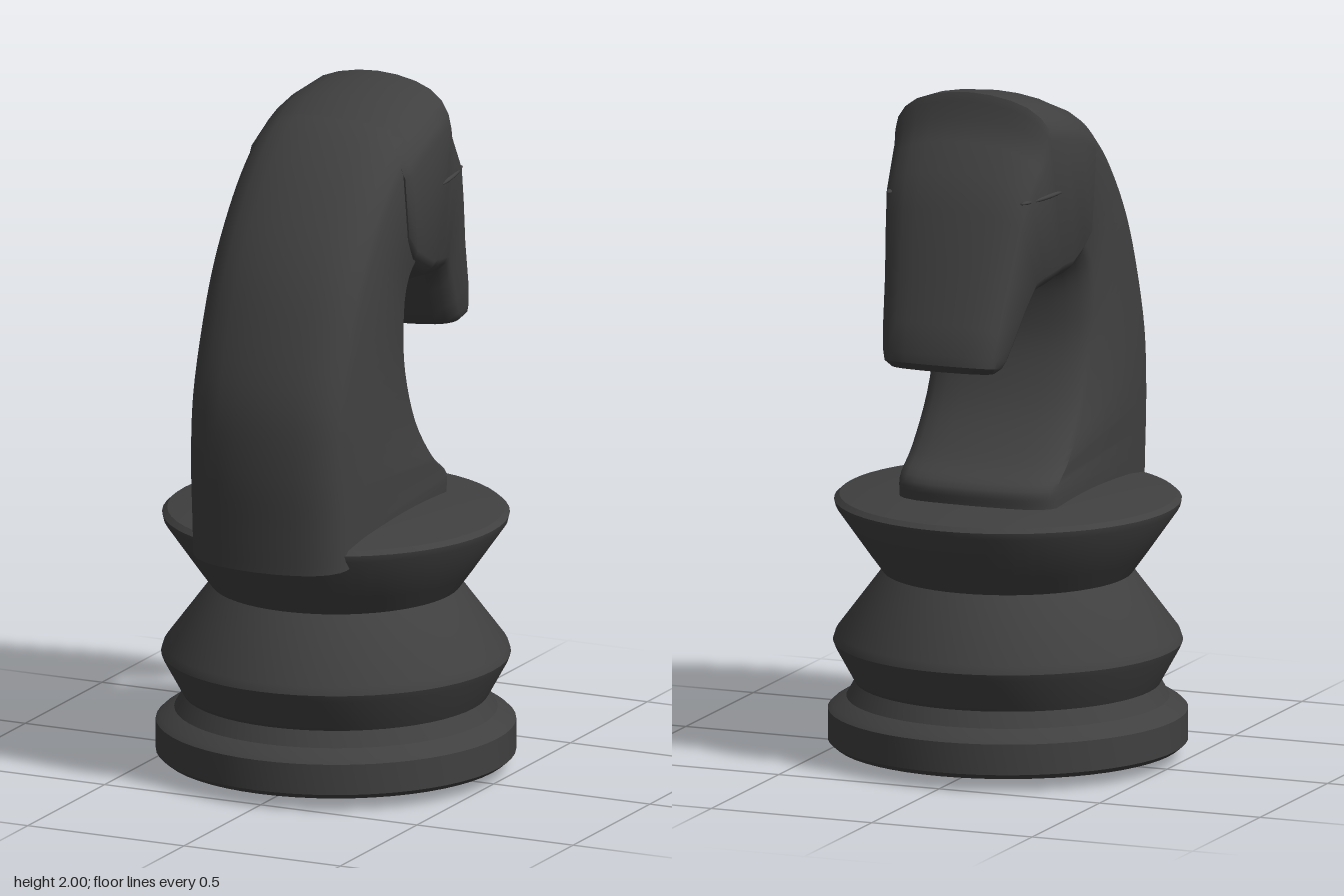
import * as THREE from 'three';
import { toCreasedNormals } from 'three/addons/utils/BufferGeometryUtils.js';

// Half of a rounded end: [fraction of half width, fraction of bulge depth]
const ROUND = [[0, 0], [0.25, 0.03], [0.5, 0.12], [0.7, 0.26], [0.86, 0.48], [0.96, 0.75], [1, 1]];

// Closed cross-section from a back point to a front point in the side plane
function ring({ back, front, w, db, df }) {
  const along = front.clone().sub(back);
  const len = along.length();
  along.normalize();
  const half = [];
  for (const [x, t] of ROUND) half.push([x * w, Math.min(db, len / 2.05) * t]);
  for (const [x, t] of [...ROUND].reverse()) half.push([x * w, len - Math.min(df, len / 2.05) * t]);
  const mirrored = half.slice(1, -1).reverse().map(([x, s]) => [-x, s]);
  return [...half, ...mirrored].map(([x, s]) => back.clone().addScaledVector(along, s).setX(x));
}

// Skin a run of cross-sections and cap both ends
function loft(stations, crease) {
  const rings = stations.map(ring);
  const n = rings[0].length;
  const pos = rings.flat().flatMap((p) => [p.x, p.y, p.z]);
  const index = [];
  for (let i = 0; i < rings.length - 1; i++) {
    for (let j = 0; j < n; j++) {
      const k = (j + 1) % n;
      const a = i * n + j, b = i * n + k, c = b + n, d = a + n;
      index.push(a, b, c, a, c, d);
    }
  }
  for (const end of [0, rings.length - 1]) {
    const { back, front } = stations[end];
    const centre = pos.length / 3;
    pos.push(0, (back.y + front.y) / 2, (back.z + front.z) / 2);
    for (let j = 0; j < n; j++) {
      const a = end * n + j, b = end * n + ((j + 1) % n);
      if (end) index.push(centre, a, b);
      else index.push(centre, b, a);
    }
  }
  const geo = new THREE.BufferGeometry();
  geo.setAttribute('position', new THREE.Float32BufferAttribute(pos, 3));
  geo.setIndex(index);
  return toCreasedNormals(geo, crease);
}

const side = (z, y) => new THREE.Vector3(0, y, z);

export function createModel() {
  const group = new THREE.Group();
  const charcoal = new THREE.MeshStandardMaterial({ color: 0x404040 });
  charcoal.name = 'charcoal';
  const add = (name, geo) => {
    const mesh = new THREE.Mesh(geo, charcoal);
    mesh.name = name;
    group.add(mesh);
    return mesh;
  };

  // Turned pedestal
  const profile = [
    [0, 0], [0.03, 0.018], [0.5, 0.035], [0.518, 0.05], [0.518, 0.14], [0.505, 0.152], [0.465, 0.175], [0.44, 0.22],
    [0.495, 0.32], [0.503, 0.34], [0.495, 0.365], [0.36, 0.545], [0.4, 0.6], [0.495, 0.735],
    [0.5, 0.755], [0.485, 0.768], [0.4, 0.782], [0.25, 0.795], [0, 0.802],
  ].map(([r, y]) => new THREE.Vector2(r, y));
  add('pedestal', toCreasedNormals(new THREE.LatheGeometry(profile, 56), 0.45)).position.z = 0.01;

  // Arched neck: crest line and throat line
  const crest = new THREE.CatmullRomCurve3([
    [0.535, 0.7], [0.542, 0.82], [0.55, 1.0], [0.535, 1.2], [0.47, 1.41],
    [0.4, 1.565], [0.31, 1.7], [0.19, 1.83], [0.06, 1.92], [-0.05, 1.95],
  ].map((p) => side(...p)));
  const throat = new THREE.CatmullRomCurve3([
    [-0.29, 0.79], [-0.29, 0.84], [-0.2, 0.9], [-0.085, 1.025], [-0.015, 1.17],
    [0.005, 1.27], [-0.005, 1.395], [-0.04, 1.45], [-0.1, 1.47], [-0.15, 1.5],
  ].map((p) => side(...p)));
  const neck = [];
  for (let i = 0; i <= 36; i++) {
    neck.push({ back: crest.getPoint(i / 36), front: throat.getPoint(i / 36), w: 0.245, db: 0.1, df: 0.08 });
  }
  add('neck', loft(neck, 0.7));

  // Head, from the cheeks to the muzzle: top z, y, bottom z, y, half width, top bulge
  const head = [
    [0.085, 1.905, 0.03, 1.53, 0.25, 0.12],
    [0.06, 1.92, 0.0, 1.48, 0.262, 0.13],
    [-0.075, 1.97, -0.04, 1.45, 0.264, 0.13],
    [-0.17, 1.99, -0.1, 1.42, 0.258, 0.13],
    [-0.262, 2.0, -0.14, 1.415, 0.246, 0.13],
    [-0.272, 1.975, -0.15, 1.413, 0.244, 0.12],
    [-0.277, 1.925, -0.16, 1.41, 0.242, 0.1],
    [-0.315, 1.865, -0.19, 1.405, 0.237, 0.09],
    [-0.375, 1.785, -0.225, 1.4, 0.228, 0.08],
    [-0.42, 1.685, -0.25, 1.393, 0.217, 0.08],
    [-0.47, 1.525, -0.285, 1.335, 0.202, 0.07],
    [-0.525, 1.37, -0.325, 1.27, 0.187, 0.06],
    [-0.55, 1.285, -0.35, 1.24, 0.178, 0.06],
    [-0.55, 1.255, -0.37, 1.225, 0.172, 0.055],
    [-0.53, 1.232, -0.4, 1.218, 0.155, 0.05],
  ].map(([tz, ty, bz, by, w, db]) => ({ back: side(tz, ty), front: side(bz, by), w, db, df: 0.08 }));
  add('head', loft(head, 0.7));

  // Slim brow ridges
  for (const s of [-1, 1]) {
    const brow = add(s > 0 ? 'leftBrow' : 'rightBrow', new THREE.SphereGeometry(1, 16, 10));
    brow.scale.set(0.016, 0.009, 0.115);
    brow.position.set(s * 0.226, 1.712, -0.275);
    brow.rotation.y = s * 0.17;
  }
  return group;
}
